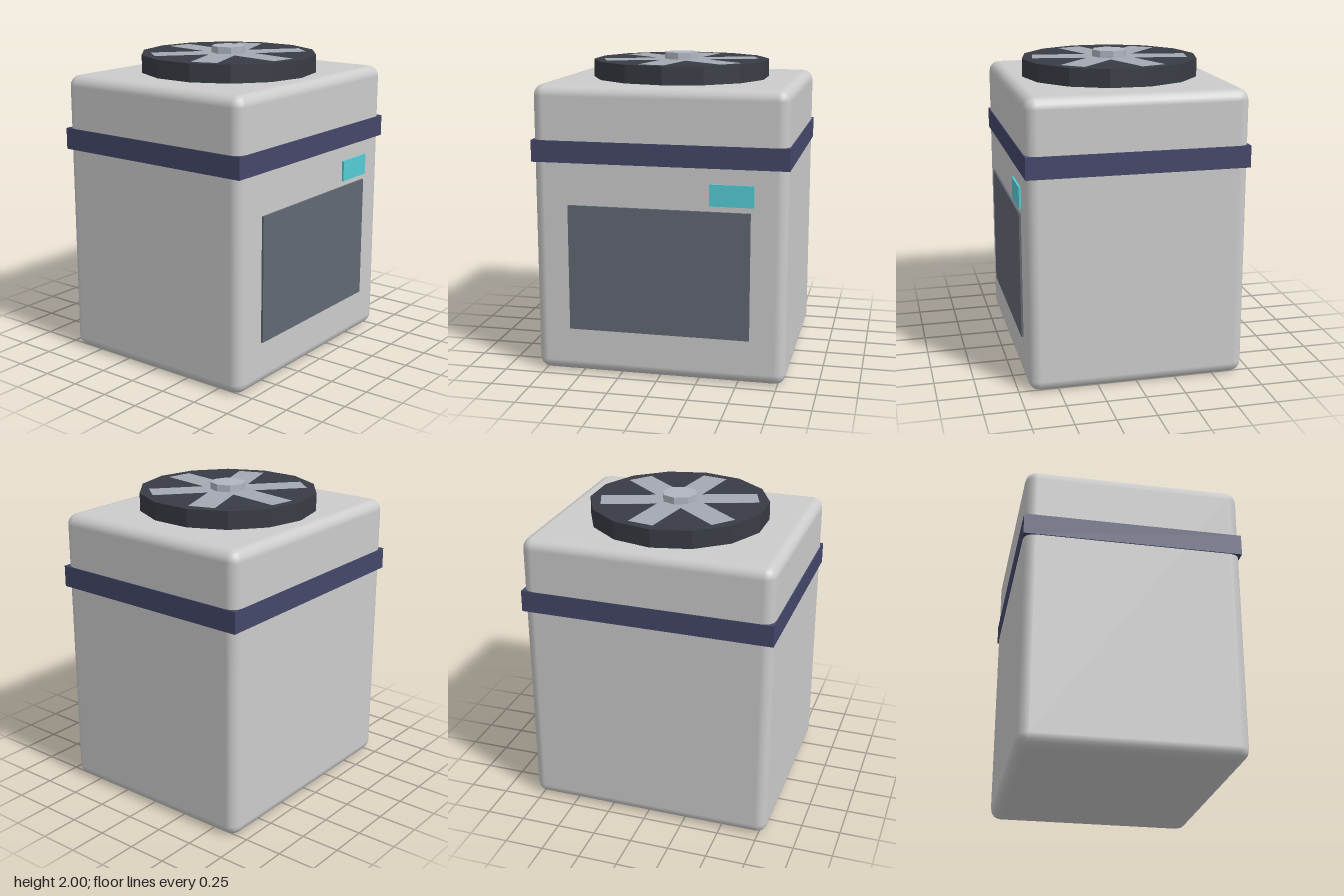
import * as THREE from 'three';
import { RoundedBoxGeometry } from 'three/addons/geometries/RoundedBoxGeometry.js';

const material = (color, flatShading = false) => new THREE.MeshStandardMaterial({ color, flatShading });

export function createModel() {
  const model = new THREE.Group();
  const midZ = -0.004;

  const add = (parent, name, geometry, mat, x, y, z) => {
    const mesh = new THREE.Mesh(geometry, mat);
    mesh.name = name;
    mesh.position.set(x, y, z);
    parent.add(mesh);
    return mesh;
  };
  // Box given by its bounds in x and y, and its front and back in z
  const panel = (name, x0, x1, y0, y1, z0, z1, color) =>
    add(model, name, new THREE.BoxGeometry(x1 - x0, y1 - y0, z1 - z0), material(color),
      (x0 + x1) / 2, (y0 + y1) / 2, (z0 + z1) / 2);

  // Cabinet with softly rounded edges
  add(model, 'cabinet', new RoundedBoxGeometry(1.6, 1.84, 1.38, 2, 0.07), material(0xcccccc), 0, 0.92, midZ);

  // Square-cornered trim band, front door panel and small display
  panel('trimBand', -0.807, 0.807, 1.36, 1.497, midZ - 0.695, midZ + 0.695, 0x44476a);
  panel('frontPanel', -0.575, 0.575, 0.29, 1.095, 0.66, 0.699, 0x626873);
  panel('display', 0.32, 0.595, 1.13, 1.265, 0.66, 0.699, 0x55ccd6);

  // Fan on the roof: disc, hub and six flush blades
  const fan = new THREE.Group();
  fan.name = 'fan';
  fan.position.set(0, 1.82, midZ);
  model.add(fan);
  add(fan, 'fanDisc', new THREE.CylinderGeometry(0.573, 0.573, 0.135, 14), material(0x383c44, true), 0, 0.0675, 0);
  add(fan, 'fanHub', new THREE.CylinderGeometry(0.113, 0.113, 0.1, 8), material(0xb0b5c0, true), 0, 0.13, 0);

  const bladeGeometry = new THREE.BoxGeometry(0.42, 0.02, 0.17).translate(0.29, 0, 0);
  const bladeMaterial = material(0xa4a9b2);
  for (let i = 0; i < 6; i++) {
    const blade = add(fan, 'fanBlade', bladeGeometry, bladeMaterial, 0, 0.126, 0);
    blade.rotation.y = -THREE.MathUtils.degToRad(40 + 60 * i);
  }
  return model;
}
